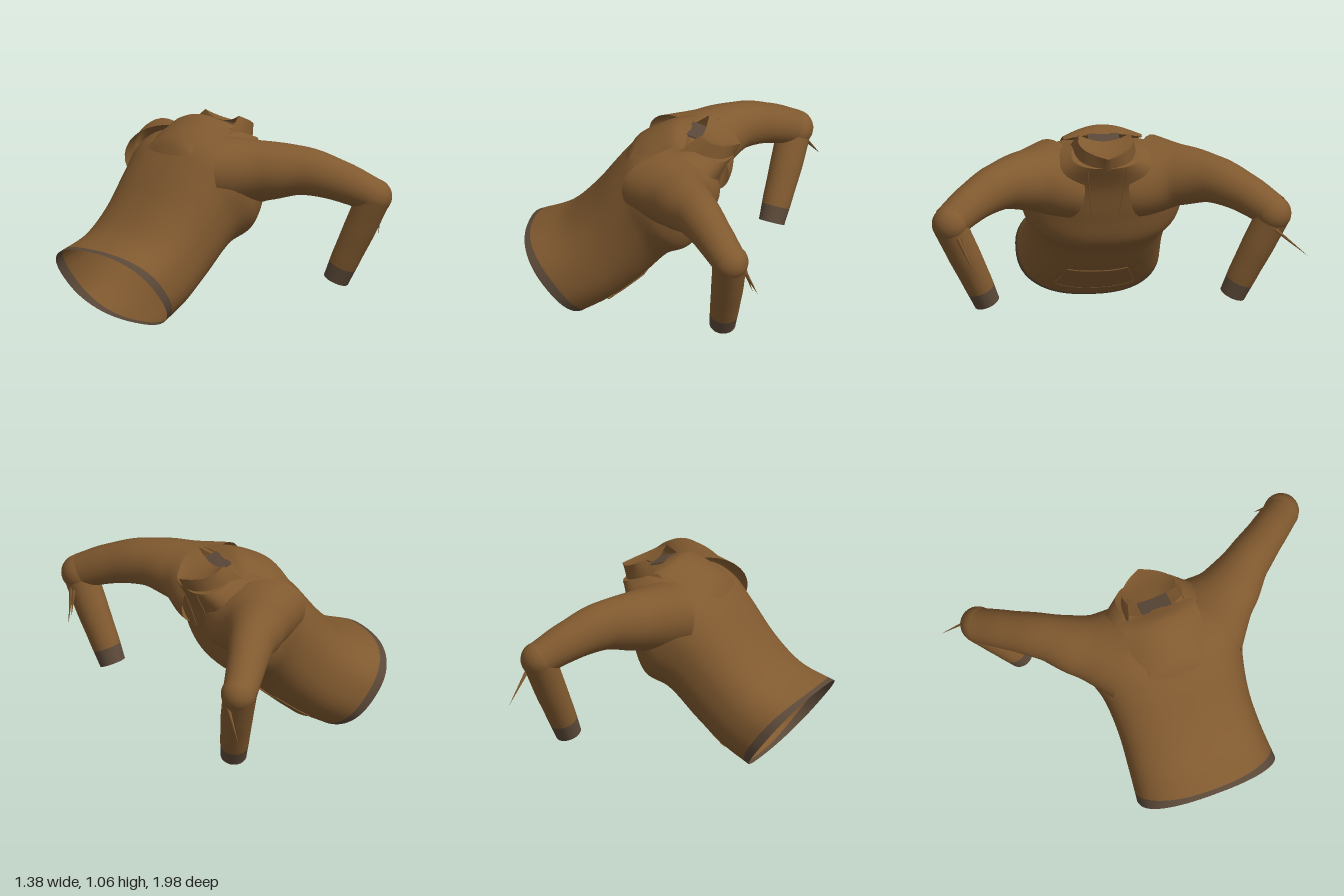
import * as THREE from 'three';
import { mergeVertices } from 'three/addons/utils/BufferGeometryUtils.js';
import { ParametricGeometry } from 'three/addons/geometries/ParametricGeometry.js';

const mat = (name, color) => new THREE.MeshStandardMaterial({ name, color, side: THREE.DoubleSide });
const V = (x, y, z) => new THREE.Vector3(x, y, z);
const curve = (pts) => new THREE.CatmullRomCurve3(pts.map((p) => V(...p)));

export function createModel() {
  const cloth = mat('brown cloth', 0x80592f);
  const trim = mat('grey brown trim', 0x5a4838);
  const root = new THREE.Group();
  root.name = 'hoodedTop';
  root.position.z = 0.04;

  const add = (name, geo, material) => {
    const m = new THREE.Mesh(geo, material);
    m.name = name;
    root.add(m);
    return m;
  };
  // Smooth sheet from a rule f(u, v) -> Vector3
  const sheet = (name, f, nu, nv, material) => {
    let g = new ParametricGeometry((u, v, t) => t.copy(f(u, v)), nu, nv);
    g.deleteAttribute('uv');
    g.deleteAttribute('normal');
    g = mergeVertices(g, 1e-5);
    g.computeVertexNormals();
    return add(name, g, material);
  };

  // Torso: spine-side and belly-side outlines; third value of the spine is the half width
  const spine = curve([
    [-0.69, 0.42, 0.38], [-0.5, 0.5, 0.365], [-0.36, 0.63, 0.36], [-0.2, 0.83, 0.385],
    [-0.1, 0.93, 0.425], [0, 0.97, 0.42], [0.1, 0.98, 0.32], [0.18, 0.995, 0.18],
  ]);
  const belly = curve([
    [-0.35, 0, 0], [-0.21, 0.085, 0], [-0.05, 0.22, 0], [0.1, 0.37, 0],
    [0.22, 0.435, 0], [0.285, 0.6, 0], [0.34, 0.78, 0], [0.41, 0.91, 0],
  ]);
  const N = 2.4;
  const round = (c) => Math.sign(c) * Math.abs(c) ** (2 / N);
  const body = (u, a, lift = 0) => {
    const b = spine.getPoint(u), f = belly.getPoint(u), w = b.z;
    b.z = 0;
    const half = f.clone().sub(b).multiplyScalar(0.5);
    const p = b.add(half).addScaledVector(half, round(Math.cos(a)));
    p.z = w * round(Math.sin(a));
    return p.addScaledVector(half.normalize(), lift);
  };
  // Point on the chest side at a given sideways offset
  const onFront = (u, z, lift) => {
    const r = Math.min(Math.abs(z) / spine.getPoint(u).z, 1);
    return body(u, Math.sign(z) * Math.asin(r ** (N / 2)), lift);
  };
  const TAU = Math.PI * 2;
  // Hem band is deeper at the sides
  const hem = (a) => 0.018 + 0.022 * Math.sin(a) ** 2;
  sheet('torso', (u, v) => body(THREE.MathUtils.lerp(hem(v * TAU), 1, u), v * TAU), 56, 64, cloth);
  sheet('hemBand', (u, v) => body(u * hem(v * TAU), v * TAU), 3, 64, trim);
  const neck = V(0.29, 0.94, 0);
  sheet('neckCover', (u, v) => body(1, v * TAU).lerp(neck, u), 3, 48, cloth);

  // Front pocket with a raised seam around it
  const pocketAt = (u, t, lift) => onFront((1 + u) / 7, t * (0.21 - 0.05 * u), lift);
  sheet('pocket', (u, v) => pocketAt(u, 2 * v - 1, 0.007), 8, 20, cloth);
  const corners = [[0, -1], [0, 1], [1, 1], [1, -1]];
  corners.forEach(([u0, t0], i) => {
    const [u1, t1] = corners[(i + 1) % 4];
    const pts = [];
    for (let k = 0; k <= 10; k++) {
      pts.push(pocketAt(THREE.MathUtils.lerp(u0, u1, k / 10), THREE.MathUtils.lerp(t0, t1, k / 10), 0.006));
    }
    add('pocketSeam', new THREE.TubeGeometry(new THREE.CatmullRomCurve3(pts), 20, 0.003, 6), cloth);
  });

  // Tube with changing section: each entry is [height radius, width radius]
  const limb = (name, pts, radii, material, from = 0, to = 1) => {
    const path = curve(pts), n = radii.length - 1;
    return sheet(name, (s, v) => {
      const u = from + s * (to - from);
      const i = Math.min(Math.floor(u * n), n - 1);
      const r = (k) => THREE.MathUtils.lerp(radii[i][k], radii[i + 1][k], THREE.MathUtils.smoothstep(u * n - i, -0.3, 1.3) * 1.27 - 0.135);
      const t = path.getTangent(u);
      const side = t.clone().cross(V(0.3, 1, 0.1)).normalize();
      const up = side.clone().cross(t);
      return path.getPoint(u)
        .addScaledVector(side, r(1) * Math.cos(v * TAU))
        .addScaledVector(up, r(0) * Math.sin(v * TAU));
    }, 28, 32, material);
  };

  // Sleeves and their cuffs
  for (const s of [1, -1]) {
    const side = s > 0 ? 'near' : 'far';
    const at = (pts) => pts.map(([x, y, z]) => [x, y, z * s]);
    limb(side + 'UpperSleeve', at([
      [0.12, 0.78, 0.24], [0.215, 0.805, 0.42], [0.33, 0.81, 0.575], [0.45, 0.76, 0.73], [0.56, 0.69, 0.86],
    ]), [[0.19, 0.27], [0.155, 0.165], [0.127, 0.12], [0.107, 0.102], [0.092, 0.092]], cloth);
    const elbow = add(side + 'Elbow', new THREE.SphereGeometry(0.094, 28, 20), cloth);
    elbow.position.set(0.566, 0.685, 0.858 * s);
    const fore = at([[0.56, 0.68, 0.86], [0.535, 0.52, 0.785], [0.505, 0.36, 0.71], [0.48, 0.225, 0.65]]);
    const foreR = [0.09, 0.086, 0.078, 0.069].map((r) => [r, r]);
    limb(side + 'Forearm', fore, foreR, cloth, 0, 0.8);
    limb(side + 'Cuff', fore, foreR, trim, 0.8, 1);

    // Cloth closing the sleeve just inside the cuff
    const plug = add(side + 'CuffInside', new THREE.CircleGeometry(0.068, 28), cloth);
    plug.position.set(0.482, 0.234, 0.654 * s);
    plug.quaternion.setFromUnitVectors(V(0, 0, 1), V(-0.16, -0.9, -0.4 * s).normalize());

    // Drawstring lying on the chest
    const line = [];
    for (let i = 0; i <= 8; i++) {
      const t = i / 8;
      line.push(onFront((5.2 + 1.75 * t) / 7, s * (0.072 + 0.03 * Math.sin(t * 1.6)), 0.002));
    }
    add(side + 'Drawstring', new THREE.TubeGeometry(new THREE.CatmullRomCurve3(line), 24, 0.003, 6), cloth);
  }

  // Sharp cloth points at the elbows
  const spike = (a, b, r) => {
    const d = b.clone().sub(a);
    const m = add('elbowPoint', new THREE.ConeGeometry(r, d.length(), 6), cloth);
    m.position.copy(a).addScaledVector(d, 0.5);
    m.quaternion.setFromUnitVectors(V(0, 1, 0), d.normalize());
  };
  spike(V(0.625, 0.63, -0.84), V(0.66, 0.47, -1.03), 0.012);
  spike(V(0.625, 0.64, 0.83), V(0.69, 0.46, 0.75), 0.014);
  spike(V(0.63, 0.62, 0.8), V(0.665, 0.48, 0.765), 0.012);

  // Hood lying on the upper back, flat along its front fold
  const crest = curve([[-0.16, 0.88, 0], [-0.11, 0.955, 0], [-0.02, 1.015, 0], [0.1, 1.06, 0], [0.18, 1.035, 0]]);
  sheet('hood', (u, v) => {
    const p = crest.getPoint(u), t = 2 * v - 1;
    const w = 0.208 * (1 - (1 - Math.min(u * 1.6, 1)) ** 2.6) ** 0.5;
    p.z = t * w;
    p.y -= t * t * Math.min(1, u * 3) * (0.075 - 0.05 * THREE.MathUtils.smoothstep(u, 0.6, 1));
    return p;
  }, 24, 24, cloth);
  // Folded lip under the hood opening
  sheet('hoodLip', (u, v) => {
    const t = 2 * v - 1, m = 1 - t * t;
    return V(0.18 - 0.06 * u * m, 1.035 - 0.025 * t * t - 0.05 * u * m, 0.208 * t);
  }, 4, 20, cloth);

  // Front collar: rim rises from the pointed front to both sides
  const rim = curve([[0.445, 0.97, 0], [0.405, 0.985, 0.07], [0.36, 1.003, 0.12], [0.31, 1.027, 0.145], [0.25, 1.055, 0.135]]);
  const base = curve([[0.41, 0.9, 0], [0.385, 0.91, 0.08], [0.34, 0.93, 0.135], [0.26, 0.945, 0.165], [0.13, 0.96, 0.175]]);
  const mirrored = (c, t) => {
    const p = c.getPoint(Math.abs(t));
    if (t < 0) p.z = -p.z;
    return p;
  };
  sheet('collar', (u, v) => mirrored(base, 2 * v - 1).lerp(mirrored(rim, 2 * v - 1), u), 6, 32, cloth);
  sheet('collarInside', (u, v) => {
    const p = rim.getPoint(u), t = 2 * v - 1;
    p.z *= t;
    p.y -= 0.04 * u * (1 - t * t);
    return p;
  }, 12, 16, cloth);

  // Neck lining between hood and collar
  const lining = add('neckLining', new THREE.BoxGeometry(0.085, 0.008, 0.165), trim);
  lining.position.set(0.213, 1.02, 0);
  lining.rotation.z = -0.3;

  return root;
}
